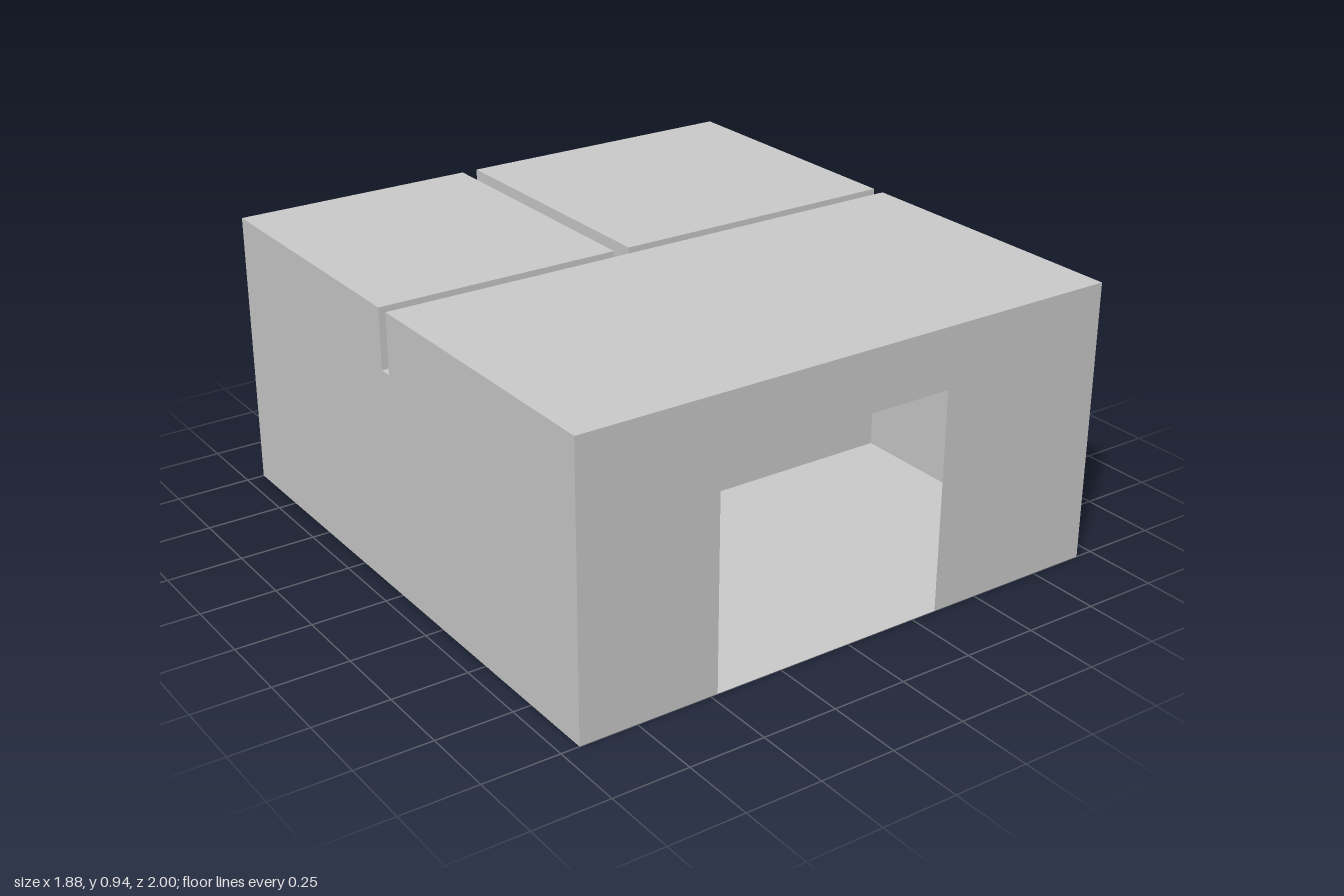
import * as THREE from 'three';
import { toCreasedNormals } from 'three/addons/utils/BufferGeometryUtils.js';

const W = 0.94, D = 1, H = 0.935;      // half width, half depth, height
const HEAD = 0.735;                    // height of the door heads
const Z0 = -0.057, Z1 = -0.013;        // cross gap between front and back rooms
const X0 = -0.115, X1 = -0.06;         // lengthwise gap between the back rooms

const material = new THREE.MeshStandardMaterial({ color: 0xcccccc, side: THREE.DoubleSide });

const polygon = (pts) => new THREE.Shape(pts.map(([a, b]) => new THREE.Vector2(a, b)));
const rect = (a0, b0, a1, b1) => polygon([[a0, b0], [a1, b0], [a1, b1], [a0, b1]]);

// Rounded outline of the passage through the partition
function passageOutline(x0 = 0.215, y0 = 0.26, x1 = 0.87, y1 = 0.61, r = 0.075) {
  const p = new THREE.Path();
  p.absarc(x1 - r, y0 + r, r, -Math.PI / 2, 0);
  p.absarc(x1 - r, y1 - r, r, 0, Math.PI / 2);
  p.absarc(x0 + r, y1 - r, r, Math.PI / 2, Math.PI);
  p.absarc(x0 + r, y0 + r, r, Math.PI, Math.PI * 1.5);
  p.closePath();
  return p;
}

export function createModel() {
  const model = new THREE.Group();

  // Thin flat panel lying across an axis; the outline is (z,y), (x,z) or (x,y)
  function panel(name, axis, at, facing, shape) {
    const geo = new THREE.ShapeGeometry(shape, 10);
    const pos = geo.attributes.position;
    for (let i = 0; i < pos.count; i++) {
      const a = pos.getX(i), b = pos.getY(i);
      if (axis === 'x') pos.setXYZ(i, at, b, a);
      else if (axis === 'y') pos.setXYZ(i, a, at, b);
      else pos.setXYZ(i, a, b, at);
    }
    const natural = axis === 'z' ? 1 : -1;
    if (facing !== natural) geo.setIndex(Array.from(geo.index.array).reverse());
    geo.computeVertexNormals();
    const mesh = new THREE.Mesh(geo, material);
    mesh.name = name;
    model.add(mesh);
  }

  // Floor, slit by the partition gap
  panel('floor', 'y', 0, -1, polygon([
    [-W, -D], [W, -D], [W, Z0], [X0, Z0], [X0, Z1], [W, Z1], [W, D], [-W, D]]));

  // Roofs of the three rooms
  panel('frontRoof', 'y', H, 1, rect(-W, Z1, W, D));
  panel('backRightRoof', 'y', H, 1, rect(-W, -D, X0, Z0));
  panel('backLeftRoof', 'y', H, 1, rect(X1, -D, W, Z0));

  // Outer walls
  panel('frontWall', 'z', D, 1, polygon([
    [-W, 0], [-0.475, 0], [-0.475, HEAD], [0.34, HEAD], [0.34, 0], [W, 0], [W, H], [-W, H]]));
  panel('backWall', 'z', -D, -1, polygon([
    [-W, 0], [W, 0], [W, H], [X1, H], [X1, HEAD], [X0, HEAD], [X0, H], [-W, H]]));
  panel('rightWall', 'x', -W, -1, polygon([
    [-D, 0], [D, 0], [D, H], [Z1, H], [Z1, HEAD], [Z0, HEAD], [Z0, H], [-D, H]]));
  panel('leftWallFront', 'x', W, 1, rect(Z1, 0, D, H));
  panel('leftWallBack', 'x', W, 1, rect(-D, 0, Z0, H));

  // Partition faces on both sides of the cross gap, pierced by the passage
  const frontFace = polygon([[-W, HEAD], [X0, HEAD], [X0, 0], [W, 0], [W, H], [-W, H]]);
  const backFace = polygon([[-W, HEAD], [X0, HEAD], [X0, 0], [W, 0], [W, H],
    [X1, H], [X1, HEAD], [X0, HEAD + 0.0001], [X0, H], [-W, H]]);
  for (const face of [frontFace, backFace]) face.holes.push(passageOutline());
  panel('partitionFront', 'z', Z1, -1, frontFace);
  panel('partitionBack', 'z', Z0, 1, backFace);
  panel('partitionEnd', 'x', X0, 1, rect(Z0, 0, Z1, HEAD));

  // Grooves above the wide openings
  panel('crossGrooveFloor', 'y', HEAD, 1, rect(-W, Z0, X0, Z1));
  panel('longGrooveFloor', 'y', HEAD, 1, rect(X0, -D, X1, Z0));
  panel('longGrooveRightSide', 'x', X0, 1, rect(-D, HEAD, Z0, H));
  panel('longGrooveLeftSide', 'x', X1, -1, rect(-D, HEAD, Z0, H));

  // Rounded sleeve of the passage bridging the gap
  const pts = passageOutline().getPoints(10);
  const verts = [], index = [];
  pts.forEach((p, i) => {
    verts.push(p.x, p.y, Z0, p.x, p.y, Z1);
    if (i < pts.length - 1) {
      const a = i * 2;
      index.push(a, a + 2, a + 1, a + 1, a + 2, a + 3);
    }
  });
  const sleeve = new THREE.BufferGeometry();
  sleeve.setAttribute('position', new THREE.Float32BufferAttribute(verts, 3));
  sleeve.setIndex(index);
  const passage = new THREE.Mesh(toCreasedNormals(sleeve, 0.6), material);
  passage.name = 'passage';
  model.add(passage);

  return model;
}
